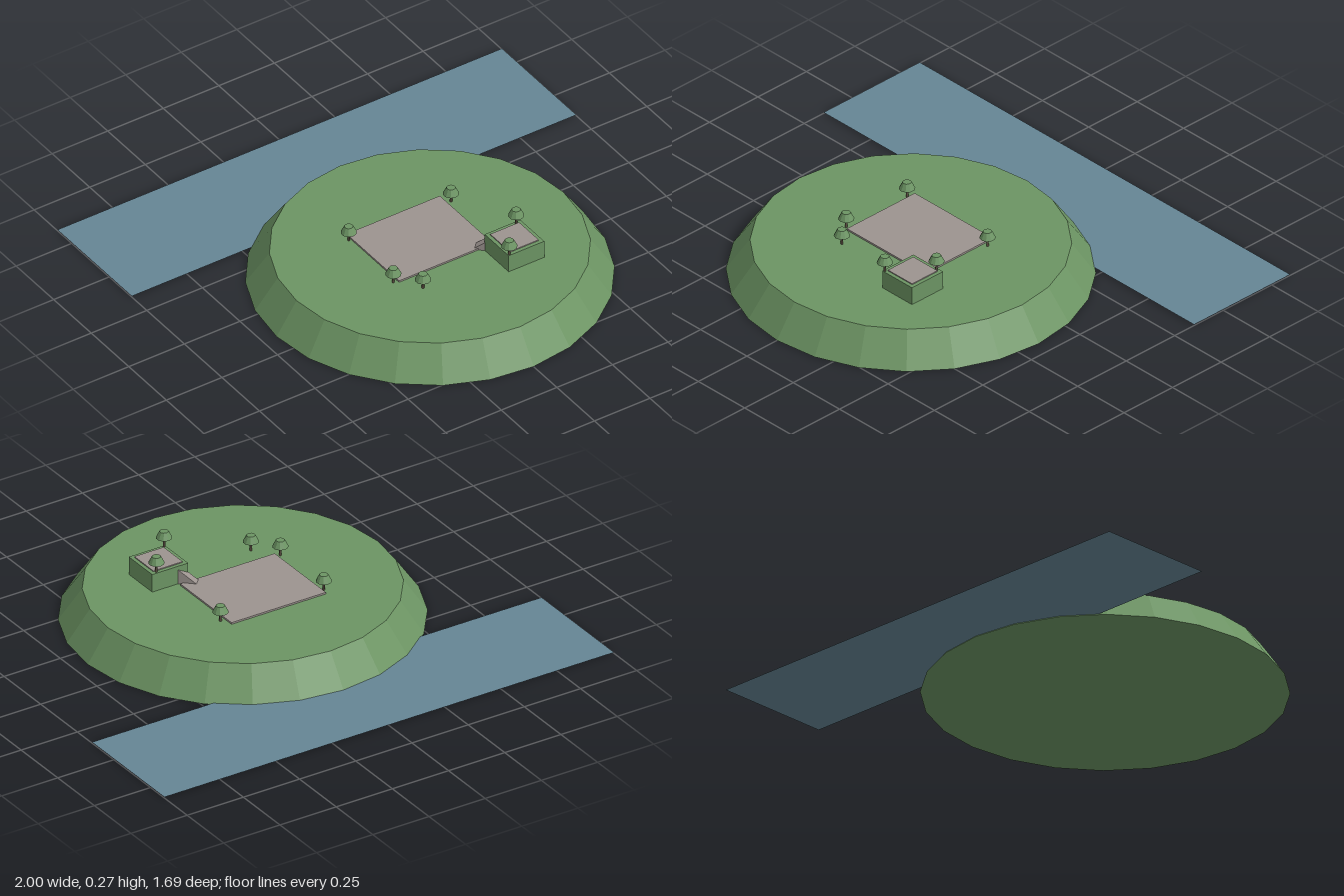
import * as THREE from 'three';

const mat = (name, color, extra = {}) => {
  const m = new THREE.MeshStandardMaterial({ color, ...extra });
  m.name = name;
  return m;
};

export function createModel() {
  const model = new THREE.Group();
  model.name = 'hilltopTerrace';

  const grass = mat('grassGreen', 0x6c9463, { flatShading: true });
  const stone = mat('paleStone', 0x9c938f);
  const bark = mat('bark', 0x5c4f42);
  const water = mat('riverBlue', 0x658594, { side: THREE.DoubleSide });

  const add = (name, geometry, material, x, y, z, parent = model) => {
    const mesh = new THREE.Mesh(geometry, material);
    mesh.name = name;
    mesh.position.set(x, y, z);
    parent.add(mesh);
    return mesh;
  };
  // Box placed by its base height
  const slab = (name, material, w, h, d, x, base, z) =>
    add(name, new THREE.BoxGeometry(w, h, d), material, x, base + h / 2, z);

  // Ground: flat-topped hill and the river strip behind it
  const ground = 0.13;
  add('hill', new THREE.CylinderGeometry(0.6, 0.69, ground, 24), grass, 0, ground / 2, 0.155);
  const river = add('river', new THREE.PlaneGeometry(2, 0.495), water, 0, 0.004, -0.5975);
  river.rotation.x = -Math.PI / 2;

  // Paved court
  slab('court', stone, 0.42, 0.007, 0.35, -0.01, ground, 0.1);

  // Raised mound with a paved top
  const moundTop = 0.205;
  slab('mound', grass, 0.16, moundTop - ground, 0.16, 0.235, ground, 0.37);
  slab('moundPaving', stone, 0.13, 0.004, 0.13, 0.235, moundTop, 0.37);

  // Ramp climbing diagonally from the court to the mound's corner
  const wedge = new THREE.Shape([
    new THREE.Vector2(0, 0), new THREE.Vector2(0.1, 0), new THREE.Vector2(0.1, 0.075),
  ]);
  const rampGeometry = new THREE.ExtrudeGeometry(wedge, { depth: 0.034, bevelEnabled: false });
  rampGeometry.translate(0, 0, -0.017);
  const ramp = add('ramp', rampGeometry, stone, 0.132, ground, 0.246);
  ramp.rotation.y = -Math.PI / 4;

  // Small trees with flared canopies: x, base height, z
  const trunk = new THREE.CylinderGeometry(0.004, 0.005, 0.045, 6);
  const canopy = new THREE.CylinderGeometry(0.017, 0.031, 0.028, 10);
  [
    [-0.23, ground, -0.045], [0.22, ground, -0.03], [-0.237, ground, 0.262],
    [-0.165, ground, 0.353], [0.29, moundTop, 0.3], [0.162, moundTop, 0.444],
  ].forEach(([x, y, z]) => {
    const tree = new THREE.Group();
    tree.name = 'tree';
    tree.position.set(x, y, z);
    add('trunk', trunk, bark, 0, 0.0225, 0, tree);
    add('canopy', canopy, grass, 0, 0.052, 0, tree);
    model.add(tree);
  });

  return model;
}
